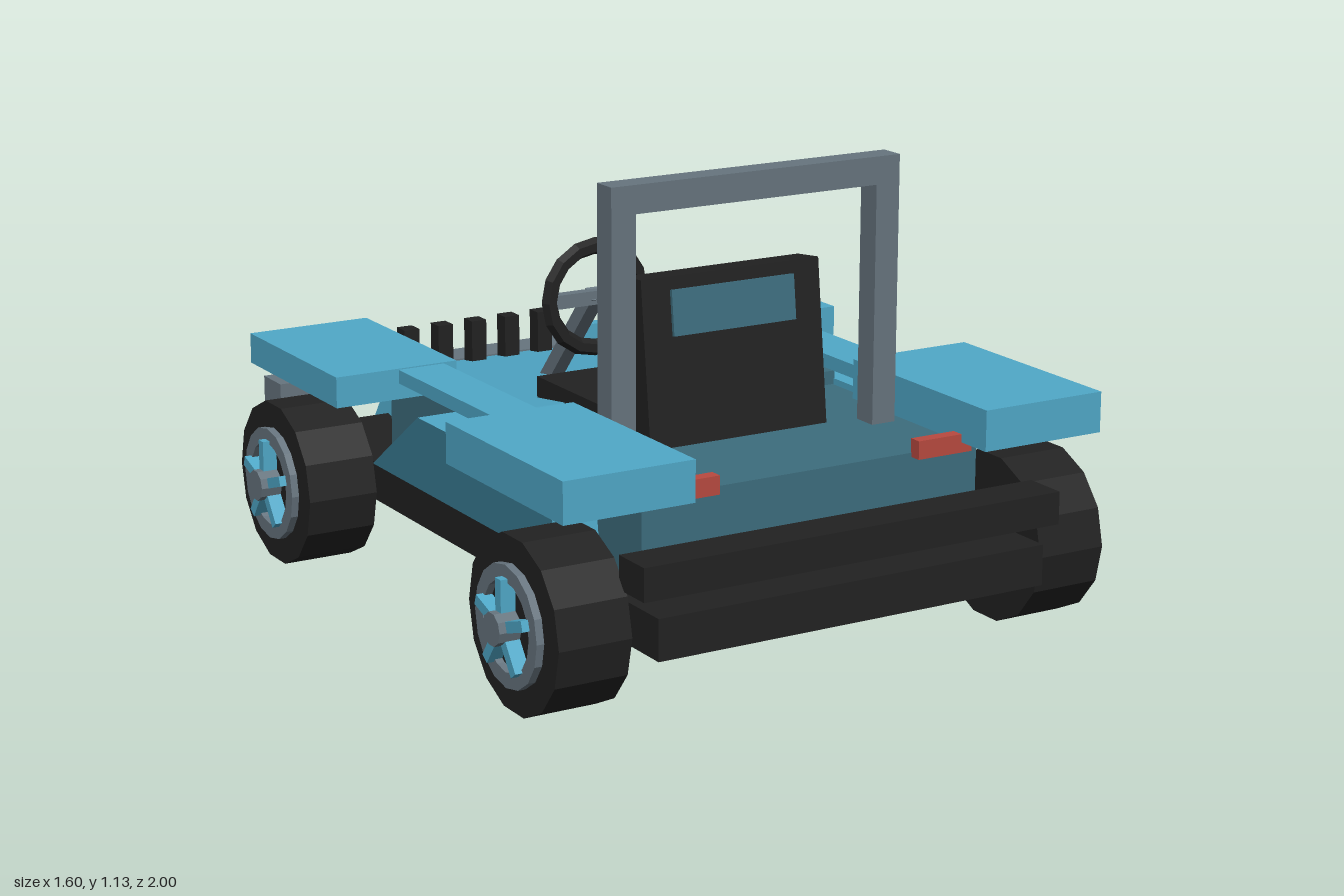
import * as THREE from 'three';

const mat = (name, color) => {
  const m = new THREE.MeshStandardMaterial({ color, flatShading: true });
  m.name = name;
  return m;
};

export function createModel() {
  const car = new THREE.Group();
  car.name = 'buggy';
  const blue = mat('body blue', 0x50a9c9);
  const teal = mat('dark teal', 0x3d6d7e);
  const grey = mat('metal grey', 0x67757f);
  const black = mat('rubber black', 0x222222);
  const red = mat('tail light red', 0xb94a40);

  const add = (name, geometry, material, parent = car) => {
    const mesh = new THREE.Mesh(geometry, material);
    mesh.name = name;
    parent.add(mesh);
    return mesh;
  };
  // Box given by its limits on each axis
  const box = (name, m, [x0, x1], [y0, y1], [z0, z1], parent) => {
    const b = add(name, new THREE.BoxGeometry(x1 - x0, y1 - y0, z1 - z0), m, parent);
    b.position.set((x0 + x1) / 2, (y0 + y1) / 2, (z0 + z1) / 2);
    return b;
  };
  const pair = (name, m, [x0, x1], y, z) => {
    box(name + 'Left', m, [x0, x1], y, z);
    box(name + 'Right', m, [-x1, -x0], y, z);
  };
  // Box whose eight corners are placed by a rule: corner(sx, sy, sz) with signs of 1 or -1
  const hexa = (corner) => {
    const g = new THREE.BoxGeometry(2, 2, 2);
    const p = g.attributes.position;
    for (let i = 0; i < p.count; i++) p.setXYZ(i, ...corner(p.getX(i), p.getY(i), p.getZ(i)));
    g.computeVertexNormals();
    return g;
  };

  // Chassis and bumpers
  box('floorPan', black, [-0.525, 0.525], [0.165, 0.265], [-0.82, 0.995]);
  box('rearBumper', black, [-0.565, 0.565], [0.31, 0.39], [0.89, 1]);
  box('frontBumper', grey, [-0.57, 0.57], [0.295, 0.365], [-1, -0.895]);

  // Rear body and cockpit walls
  box('rearBody', teal, [-0.46, 0.46], [0.265, 0.48], [0.18, 0.81]);
  pair('cockpitWall', teal, [0.43, 0.465], [0.265, 0.515], [-0.44, 0.2]);

  // Tapered hood, rising to the cockpit and raked at the nose
  add('hood', hexa((sx, sy, sz) => {
    const top = sy > 0;
    if (sz > 0) return [sx * (top ? 0.42 : 0.435), top ? 0.495 : 0.265, top ? 0.06 : 0.12];
    return [sx * (top ? 0.24 : 0.285), top ? 0.36 : 0.19, top ? -0.9 : -0.945];
  }), blue);

  // Flared side pods with a sloping front edge
  for (const side of [1, -1]) {
    add('sidePod', hexa((sx, sy, sz) => {
      const top = sy > 0;
      const outer = sx * side > 0;
      const z = sz > 0 ? (top ? 0.6 : 0.63) : (top ? 0 : -0.4);
      return [side * (outer ? (top ? 0.61 : 0.54) : 0.462), top ? 0.495 : 0.268, z];
    }), blue);
  }

  // Fenders and the rails joining them
  pair('frontFender', blue, [0.4, 0.73], [0.487, 0.565], [-0.715, -0.2]);
  pair('rearFender', blue, [0.395, 0.73], [0.495, 0.595], [0.385, 0.935]);
  pair('sideRail', blue, [0.435, 0.56], [0.527, 0.562], [-0.2, 0.385]);

  // Lights and grille
  pair('headlight', blue, [0.26, 0.43], [0.4, 0.445], [-0.81, -0.775]);
  pair('tailLight', red, [0.273, 0.425], [0.47, 0.515], [0.808, 0.84]);
  for (let i = -2; i <= 2; i++) {
    const x = i * 0.102;
    box('grillePeg', black, [x - 0.022, x + 0.022], [0.35, 0.48], [-0.888, -0.842]);
  }

  // Roll bar
  pair('rollBarPost', grey, [0.33, 0.395], [0.47, 1.075], [0.5, 0.565]);
  box('rollBarTop', grey, [-0.395, 0.395], [1.07, 1.138], [0.5, 0.565]);

  // Seat with a forward-leaning backrest
  box('seatCushion', black, [-0.237, 0.237], [0.42, 0.53], [-0.08, 0.4]);
  const backrest = new THREE.Group();
  backrest.name = 'backrest';
  backrest.position.set(0, 0.47, 0.447);
  backrest.rotation.x = -0.115;
  box('backrestPad', black, [-0.247, 0.247], [0, 0.41], [-0.045, 0.045], backrest);
  box('headrestPanel', teal, [-0.17, 0.17], [0.268, 0.378], [-0.054, 0.054], backrest);
  car.add(backrest);

  // Steering wheel, crossbar and column
  const wheelY = 0.68, wheelZ = -0.203;
  add('steeringWheel', new THREE.TorusGeometry(0.133, 0.022, 6, 16), black).position.set(0, wheelY, wheelZ);
  box('steeringSpoke', grey, [-0.12, 0.12], [wheelY - 0.018, wheelY + 0.018], [wheelZ - 0.015, wheelZ + 0.015]);
  const column = add('steeringColumn', new THREE.BoxGeometry(0.04, 0.39, 0.04), grey);
  column.position.set(0, 0.542, -0.33);
  column.rotation.x = 0.72;

  // Axles and wheels
  const disc = (r, w, sides) => new THREE.CylinderGeometry(r, r, w, sides).rotateZ(-Math.PI / 2);
  const ring = new THREE.Shape().absarc(0, 0, 0.145, 0, Math.PI * 2);
  ring.holes.push(new THREE.Path().absarc(0, 0, 0.108, 0, Math.PI * 2, true));
  const ringGeometry = new THREE.ExtrudeGeometry(ring, { depth: 0.02, bevelEnabled: false, curveSegments: 8 });
  ringGeometry.rotateY(Math.PI / 2);
  for (const z of [-0.55, 0.73]) {
    add('axle', disc(0.026, 1.14, 8), grey).position.set(0, 0.21, z);
    for (const side of [1, -1]) {
      const wheel = new THREE.Group();
      wheel.name = 'wheel';
      wheel.position.set(0, 0.21, z);
      wheel.rotation.y = side > 0 ? 0 : Math.PI;
      add('tyre', disc(0.211, 0.185, 14), black, wheel).position.x = 0.6525;
      add('rimRing', ringGeometry, grey, wheel).position.x = 0.744;
      for (let i = 0; i < 5; i++) {
        const spoke = new THREE.Group();
        spoke.name = 'spoke';
        spoke.rotation.x = (i * Math.PI * 2) / 5;
        box('spokeBar', blue, [0.744, 0.782], [0.02, 0.115], [-0.013, 0.013], spoke);
        wheel.add(spoke);
      }
      add('hub', disc(0.04, 0.06, 10), grey, wheel).position.x = 0.77;
      car.add(wheel);
    }
  }
  return car;
}
